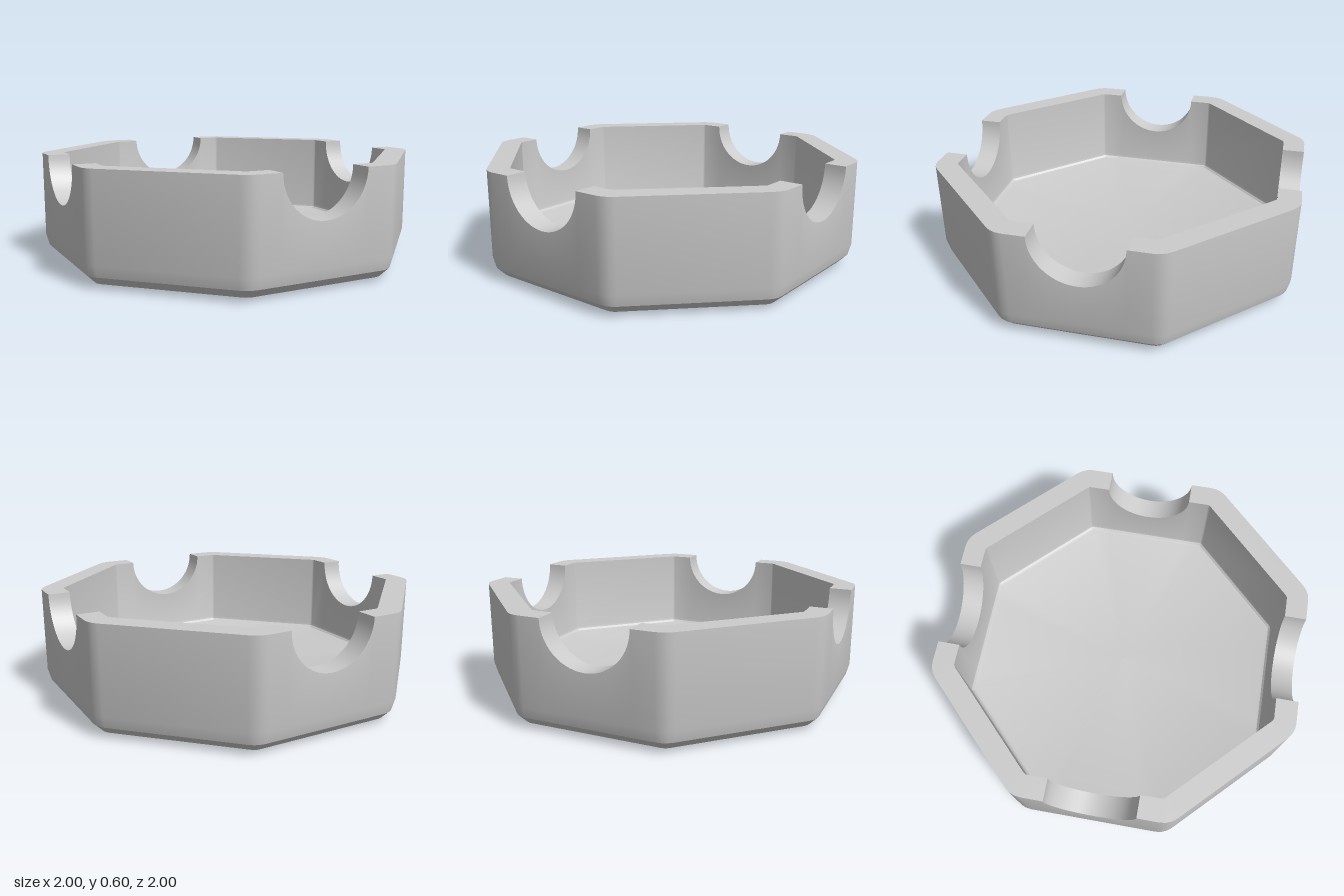
import * as THREE from 'three';
import { toCreasedNormals } from 'three/addons/utils/BufferGeometryUtils.js';

const HEIGHT = 0.6, OUTER = 1, INNER = 0.88, FLOOR = 0.12;
const OUTER_ROUND = 0.125, INNER_ROUND = 0.03, NOTCH = 0.243;
const NOTCH_STEPS = 28, CORNER_STEPS = 3;

// Wall section from the underside, up the outside, over the rim and down to the floor.
// a: distance of the flat sides, r: corner radius, y: height (null = rim height)
function wallSection() {
  const rows = [{ a: 0, r: 0, y: 0 }];
  for (let i = 3; i >= 0; i--) {
    const t = i * Math.PI / 6, inset = OUTER_ROUND * (1 - Math.cos(t));
    rows.push({ a: OUTER - inset, r: OUTER_ROUND - inset, y: OUTER_ROUND * (1 - Math.sin(t)) });
  }
  rows.push({ a: OUTER, r: OUTER_ROUND, y: null }, { a: INNER, r: INNER_ROUND, y: null });
  for (let i = 0; i <= 3; i++) {
    const t = i * Math.PI / 6, inset = INNER_ROUND * (1 - Math.cos(t));
    rows.push({ a: INNER - inset, r: INNER_ROUND - inset, y: FLOOR + INNER_ROUND * (1 - Math.sin(t)) });
  }
  rows.push({ a: 0, r: 0, y: FLOOR });
  return rows;
}

// One loop around the rounded octagon; the rim dips in a half circle on every second side
function ring({ a, r, y }) {
  const points = [];
  for (let k = 0; k < 8; k++) {
    const angle = k * Math.PI / 4, sin = Math.sin(angle), cos = Math.cos(angle);
    if (k % 2 === 0) {
      for (let i = 0; i <= NOTCH_STEPS; i++) {
        const t = i / NOTCH_STEPS * Math.PI;
        const s = a === 0 ? 0 : -NOTCH * Math.cos(t);
        points.push(new THREE.Vector3(a * sin + s * cos, y ?? HEIGHT - NOTCH * Math.sin(t), a * cos - s * sin));
      }
    }
    // rounded corner towards the next side
    const mid = angle + Math.PI / 8, d = (a - r) / Math.cos(Math.PI / 8);
    for (let i = 0; i <= CORNER_STEPS; i++) {
      const t = angle + i / CORNER_STEPS * Math.PI / 4;
      points.push(new THREE.Vector3(d * Math.sin(mid) + r * Math.sin(t), y ?? HEIGHT, d * Math.cos(mid) + r * Math.cos(t)));
    }
  }
  return points;
}

// Joins the loops into one surface, leaving out collapsed triangles
function skin(loops) {
  const positions = [], tri = new THREE.Triangle();
  const add = (p, q, s) => {
    tri.set(p, q, s);
    if (tri.getArea() > 1e-8) positions.push(...p.toArray(), ...q.toArray(), ...s.toArray());
  };
  for (let j = 0; j < loops.length - 1; j++) {
    const low = loops[j], high = loops[j + 1], n = low.length;
    for (let i = 0; i < n; i++) {
      const next = (i + 1) % n;
      add(low[i], low[next], high[next]);
      add(low[i], high[next], high[i]);
    }
  }
  const geometry = new THREE.BufferGeometry();
  geometry.setAttribute('position', new THREE.Float32BufferAttribute(positions, 3));
  return toCreasedNormals(geometry, 0.5);
}

export function createModel() {
  const group = new THREE.Group();
  group.name = 'octagonalTray';
  const tray = new THREE.Mesh(
    skin(wallSection().map(ring)),
    new THREE.MeshStandardMaterial({ color: 0xcccccc })
  );
  tray.name = 'notchedTrayBody';
  group.add(tray);
  return group;
}
